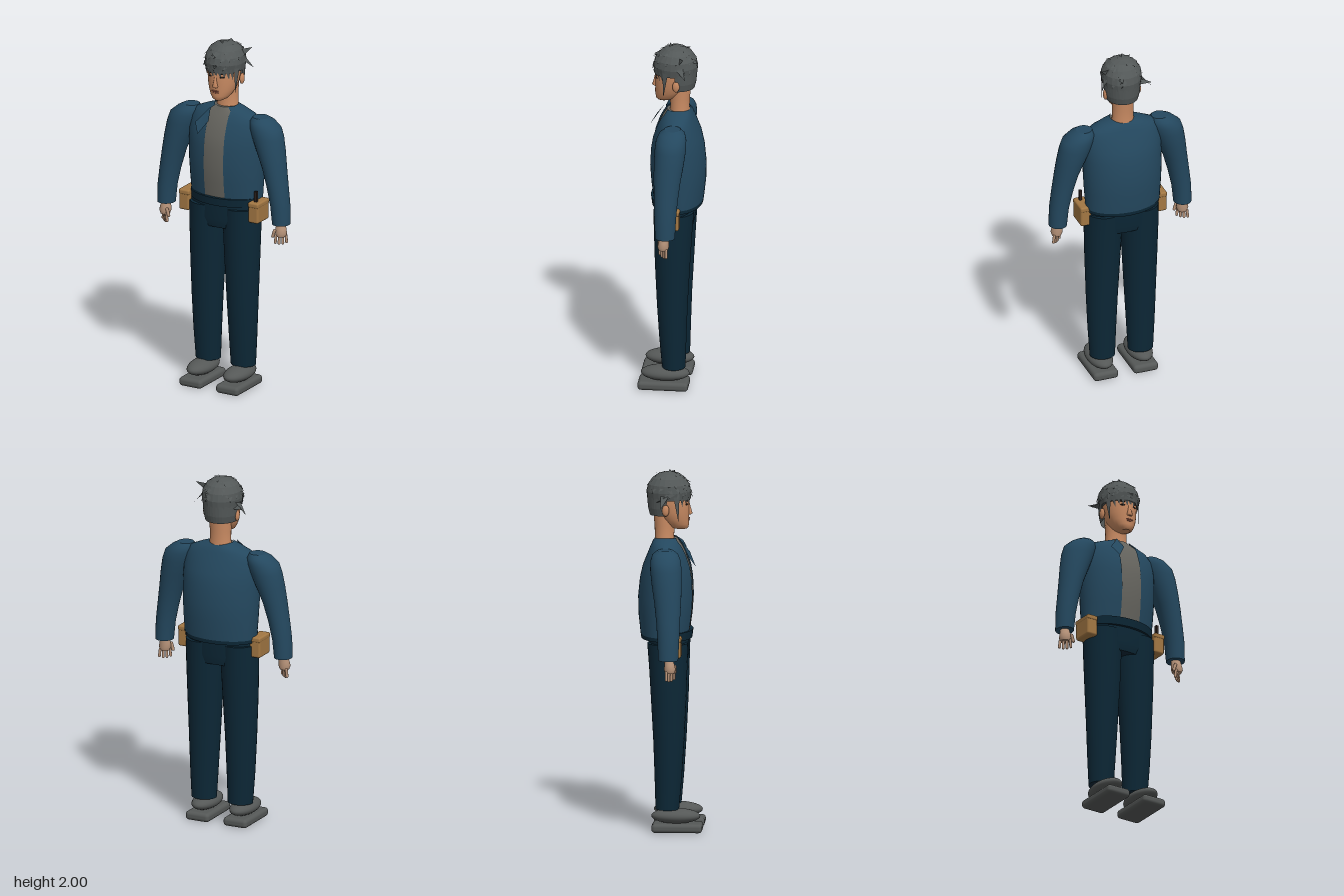
import * as THREE from 'three';
import { RoundedBoxGeometry } from 'three/addons/geometries/RoundedBoxGeometry.js';

const mat = (name, color, extra = {}) => {
  const m = new THREE.MeshStandardMaterial({ color, ...extra });
  m.name = name;
  return m;
};

// Skin a stack of horizontal ovals, bottom to top: [y, centreX, radiusX, zFront, zBack].
// arc(rx) may return [start, end] angles (0 = front, growing toward +x) for an open shell.
function loft(rows, sides = 28, arc = null, caps = !arc) {
  const pos = [], idx = [];
  const ring = ([y, cx, rx, zf, zb]) => {
    const [a0, a1] = arc ? arc(rx) : [0, Math.PI * 2];
    const cols = arc ? sides + 1 : sides;
    for (let j = 0; j < cols; j++) {
      const a = a0 + (a1 - a0) * j / sides;
      pos.push(cx + rx * Math.sin(a), y, (zf + zb) / 2 + (zf - zb) / 2 * Math.cos(a));
    }
    return cols;
  };
  let cols = 0;
  rows.forEach(r => { cols = ring(r); });
  for (let i = 0; i < rows.length - 1; i++) {
    for (let j = 0; j < sides; j++) {
      const k = arc ? j + 1 : (j + 1) % sides;
      const a = i * cols + j, b = i * cols + k, c = b + cols, d = a + cols;
      idx.push(a, b, c, a, c, d);
    }
  }
  if (caps) {
    for (const top of [false, true]) {
      const r = rows[top ? rows.length - 1 : 0], base = pos.length / 3;
      ring(r);
      pos.push(r[1], r[0], (r[3] + r[4]) / 2);
      for (let j = 0; j < sides; j++) {
        const p = base + j, q = base + (j + 1) % sides, m = base + sides;
        top ? idx.push(p, q, m) : idx.push(q, p, m);
      }
    }
  }
  const g = new THREE.BufferGeometry();
  g.setAttribute('position', new THREE.Float32BufferAttribute(pos, 3));
  g.setIndex(idx);
  g.computeVertexNormals();
  return g;
}

export function createModel() {
  const root = new THREE.Group();
  root.name = 'standingMan';
  const two = { side: THREE.DoubleSide };
  const jacket = mat('jacketBlue', 0x24485f, two);
  const trousers = mat('trouserNavy', 0x0c2736);
  const shirt = mat('shirtGrey', 0x66655f);
  const hair = mat('hairGrey', 0x535858, { ...two, flatShading: true });
  const shoe = mat('shoeGrey', 0x555857);
  const skin = mat('faceSkin', 0xc88a62);
  const handSkin = mat('handSkin', 0xb8947a);
  const tan = mat('pouchTan', 0xa27743);
  const dark = mat('darkBrown', 0x2b211d);
  const lip = mat('lipRed', 0xa05f4c);

  const add = (name, geo, material, x = 0, y = 0, z = 0, parent = root) => {
    const m = new THREE.Mesh(geo, material);
    m.name = name;
    m.position.set(x, y, z);
    parent.add(m);
    return m;
  };

  // Jacket shell, open down the front over a shirt
  const body = [
    [1.09, 0, 0.213, 0.105, -0.168], [1.2, 0, 0.22, 0.12, -0.18], [1.3, 0, 0.225, 0.127, -0.182],
    [1.4, 0, 0.225, 0.122, -0.172], [1.47, 0, 0.224, 0.11, -0.156], [1.54, 0, 0.214, 0.085, -0.128],
    [1.58, 0, 0.185, 0.065, -0.112], [1.605, 0, 0.125, 0.05, -0.1], [1.624, 0, 0.066, 0.04, -0.086]];
  add('jacketBody', loft(body, 40, rx => {
    const a = Math.asin(Math.min(0.062, rx * 0.6) / rx);
    return [a, Math.PI * 2 - a];
  }), jacket);
  add('shirt', loft(body.map(([y, x, r, f, b]) => [y - 0.004, x, r - 0.007, f - 0.006, b + 0.007]), 40), shirt);

  // Turned-out collar flap on the right
  const flap = new THREE.BufferGeometry();
  flap.setAttribute('position', new THREE.Float32BufferAttribute([
    -0.055, 1.615, 0.055, -0.125, 1.53, 0.105, -0.09, 1.475, 0.14, -0.04, 1.55, 0.105], 3));
  flap.setIndex([0, 1, 2, 0, 2, 3]);
  flap.computeVertexNormals();
  add('collarFlap', flap, jacket);

  // Hips and waistband
  add('hips', loft([[0.93, 0, 0.2, 0.085, -0.11], [0.98, 0, 0.212, 0.098, -0.122], [1.1, 0, 0.208, 0.1, -0.13]]), trousers);
  add('waistband', loft([[1.068, 0, 0.211, 0.116, -0.165], [1.114, 0, 0.212, 0.122, -0.17]], 36), trousers);

  const capsule = (r, len) => new THREE.CapsuleGeometry(r, len, 4, 8);
  for (const s of [1, -1]) {
    const side = s > 0 ? 'left' : 'right';
    const at = rows => rows.map(([y, x, ...rest]) => [y, x * s, ...rest]);

    // Leg and shoe
    add(side + 'Leg', loft(at([
      [0.125, 0.112, 0.071, 0.05, -0.08], [0.3, 0.113, 0.08, 0.065, -0.085], [0.5, 0.112, 0.089, 0.078, -0.092],
      [0.75, 0.109, 0.1, 0.09, -0.106], [0.92, 0.107, 0.106, 0.095, -0.116], [1.05, 0.106, 0.106, 0.099, -0.126]])), trousers);
    add(side + 'Sole', new RoundedBoxGeometry(0.145, 0.05, 0.28, 4, 0.02), shoe, s * 0.117, 0.025, 0.04);
    add(side + 'ShoeUpper', new THREE.SphereGeometry(1, 28, 16), shoe, s * 0.117, 0.088, 0.032).scale.set(0.07, 0.042, 0.135);

    // Sleeve
    add(side + 'Sleeve', loft(at([
      [0.995, 0.367, 0.05, 0.06, -0.05], [1.1, 0.36, 0.054, 0.065, -0.055], [1.2, 0.343, 0.059, 0.068, -0.062],
      [1.31, 0.32, 0.067, 0.073, -0.075], [1.4, 0.295, 0.08, 0.075, -0.09], [1.48, 0.271, 0.09, 0.073, -0.1],
      [1.53, 0.254, 0.09, 0.068, -0.1], [1.565, 0.233, 0.07, 0.052, -0.09], [1.585, 0.222, 0.045, 0.025, -0.065]])), jacket);

    // Hand with four fingers and a thumb
    const hand = new THREE.Group();
    hand.name = side + 'Hand';
    root.add(hand);
    add('palm', loft(at([
      [0.925, 0.37, 0.026, 0.04, -0.012], [0.945, 0.37, 0.034, 0.046, -0.018],
      [0.97, 0.368, 0.031, 0.04, -0.016], [1.005, 0.367, 0.024, 0.03, -0.018]]), 16), handSkin, 0, 0, 0, hand);
    for (let i = 0; i < 4; i++) {
      const f = add('finger', capsule(0.008, 0.04), handSkin, s * (0.348 + i * 0.015), 0.91 - (i % 3 ? 0.006 : 0), 0.035 - i * 0.013, hand);
      f.rotation.z = s * (i - 1.5) * 0.08;
    }
    add('thumb', capsule(0.009, 0.035), handSkin, s * 0.338, 0.942, 0.04, hand).rotation.z = -s * 0.3;

    // Hip pouch with lid
    add(side + 'Pouch', new RoundedBoxGeometry(0.065, 0.118, 0.125, 3, 0.012), tan, s * 0.221, 1.045, 0.005);
    add(side + 'PouchLid', new RoundedBoxGeometry(0.068, 0.03, 0.13, 2, 0.01), tan, s * 0.221, 1.09, 0.005);
  }
  add('pouchTool', new THREE.BoxGeometry(0.014, 0.07, 0.016), dark, 0.222, 1.13, 0.035);

  // Neck and head
  add('neck', loft([[1.58, 0, 0.07, 0.03, -0.095], [1.63, 0, 0.061, 0.015, -0.09], [1.69, 0, 0.06, 0.02, -0.092], [1.78, 0, 0.062, 0.02, -0.1]], 24), skin);
  add('head', loft([
    [1.672, 0, 0.026, 0.086, 0.02], [1.682, 0, 0.044, 0.095, -0.01], [1.7, 0, 0.058, 0.098, -0.035],
    [1.73, 0, 0.074, 0.098, -0.06], [1.77, 0, 0.084, 0.1, -0.085], [1.82, 0, 0.09, 0.1, -0.1],
    [1.88, 0, 0.091, 0.096, -0.11], [1.94, 0, 0.07, 0.07, -0.09]], 32), skin);
  add('nose', loft([[1.75, 0, 0.012, 0.108, 0.085], [1.757, 0, 0.017, 0.117, 0.085], [1.785, 0, 0.01, 0.109, 0.085], [1.82, 0, 0.007, 0.1, 0.085]], 12), skin);
  const dab = new THREE.SphereGeometry(1, 14, 8);
  for (const s of [1, -1]) {
    add('ear', dab, skin, s * 0.098, 1.785, -0.025).scale.set(0.012, 0.032, 0.02);
    const eye = add('eye', dab, dark, s * 0.038, 1.812, 0.0895);
    eye.scale.set(0.015, 0.005, 0.004);
    eye.rotation.y = s * 0.45;
    const brow = add('brow', dab, dark, s * 0.04, 1.832, 0.09);
    brow.scale.set(0.02, 0.0035, 0.004);
    brow.rotation.y = s * 0.45;
  }
  add('upperLip', dab, lip, 0, 1.73, 0.098).scale.set(0.024, 0.004, 0.004);
  add('lowerLip', dab, lip, 0, 1.722, 0.098).scale.set(0.02, 0.005, 0.004);

  // Hair: crown cap, and a shell around the sides and nape
  add('hairCrown', loft([
    [1.838, 0, 0.105, 0.107, -0.132], [1.88, 0, 0.112, 0.11, -0.137], [1.92, 0, 0.108, 0.1, -0.128],
    [1.955, 0, 0.088, 0.075, -0.104], [1.978, 0, 0.058, 0.045, -0.07], [1.988, 0, 0.02, 0.01, -0.03]], 22), hair);
  add('hairNape', loft([[1.75, 0, 0.09, 0.08, -0.118], [1.79, 0, 0.1, 0.09, -0.128], [1.85, 0, 0.106, 0.107, -0.133]],
    18, () => [1.6, Math.PI * 2 - 1.6]), hair);

  // Loose locks: thin blades, scattered over the crown plus a few long ones
  let seed = 11;
  const rnd = () => (seed = (seed * 16807) % 2147483647) / 2147483647;
  const blades = [];
  const blade = (base, tip, width) => {
    const b = new THREE.Vector3(...base), t = new THREE.Vector3(...tip);
    const out = new THREE.Vector3(b.x, b.y - 1.87, b.z + 0.013);
    const w = t.clone().sub(b).cross(out).normalize().multiplyScalar(width / 2);
    blades.push(...b.clone().add(w).toArray(), ...b.clone().sub(w).toArray(), ...t.toArray());
  };
  const onHead = (a, e, k) => [
    0.113 * k * Math.sin(a) * Math.cos(e), 1.87 + 0.122 * k * Math.sin(e), -0.013 + 0.123 * k * Math.cos(a) * Math.cos(e)];
  for (let i = 0; i < 70; i++) {
    const a = rnd() * Math.PI * 2, e = 0.15 + rnd() * 1.2;
    blade(onHead(a, e, 0.98), onHead(a + (rnd() - 0.5) * 1.1, e - 0.2 - rnd() * 0.25, 1.03 + rnd() * 0.09), 0.035);
  }
  for (let i = 0; i < 9; i++) { // fringe
    const a = -0.9 + i * 0.22;
    blade(onHead(a, 0.1, 1.02), onHead(a + 0.12, -0.42 - rnd() * 0.22, 1.06), 0.04);
  }
  for (const s of [1, -1]) blade([s * 0.1, 1.86, 0.035], [s * 0.095, 1.72, 0.045], 0.035);
  blade([-0.1, 1.87, -0.03], [-0.165, 1.8, -0.05], 0.05);
  blade([-0.1, 1.84, -0.05], [-0.155, 1.84, -0.08], 0.04);
  blade([0.1, 1.9, -0.04], [0.14, 1.84, -0.08], 0.045);
  blade([0.09, 1.93, -0.04], [0.135, 1.96, -0.07], 0.04);
  blade([0.02, 1.97, 0], [-0.02, 2.0, 0.02], 0.05);
  blade([-0.04, 1.97, 0], [0.03, 1.998, -0.01], 0.04);
  const locks = new THREE.BufferGeometry();
  locks.setAttribute('position', new THREE.Float32BufferAttribute(blades, 3));
  locks.computeVertexNormals();
  add('hairLocks', locks, hair);

  return root;
}
